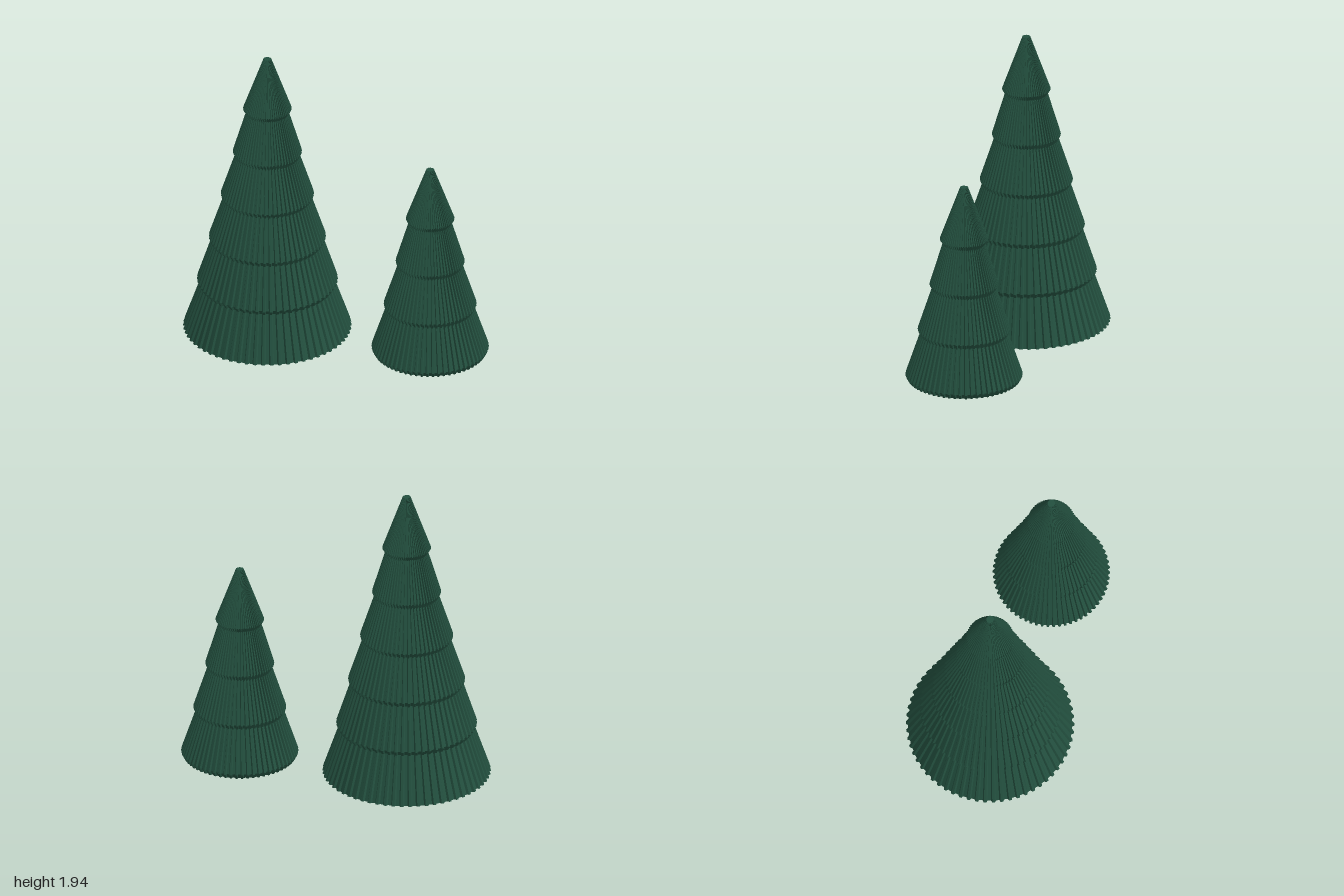
import * as THREE from 'three';

const RIBS = 62;

// Ribbed ring outline: narrow raised ridges with flat valleys between them
function ribbedRing(r, y) {
  const depth = Math.min(0.014, r * 0.07);
  const pts = [];
  for (let i = 0; i < RIBS; i++) {
    for (const [f, out] of [[0, 0], [0.4, 0], [0.55, 1], [0.85, 1]]) {
      const a = ((i + f) / RIBS) * Math.PI * 2;
      const rr = r - (1 - out) * depth;
      pts.push([Math.sin(a) * rr, y, Math.cos(a) * rr]);
    }
  }
  return pts;
}

// Skin a stack of ribbed rings, listed bottom to top, with optional end caps
function ribbedSkin(profile, capBottom, capTop) {
  const rings = profile.map(([r, y]) => ribbedRing(r, y));
  const pos = [];
  const tri = (...corners) => corners.forEach((c) => pos.push(...c));
  const n = rings[0].length;
  for (let k = 0; k < rings.length - 1; k++) {
    for (let i = 0; i < n; i++) {
      const j = (i + 1) % n;
      const a = rings[k][i], b = rings[k][j], c = rings[k + 1][j], d = rings[k + 1][i];
      tri(a, b, c);
      tri(a, c, d);
    }
  }
  const top = rings[rings.length - 1];
  for (let i = 0; i < n; i++) {
    const j = (i + 1) % n;
    if (capBottom) tri([0, profile[0][1], 0], rings[0][j], rings[0][i]);
    if (capTop) tri([0, top[0][1], 0], top[i], top[j]);
  }
  const g = new THREE.BufferGeometry();
  g.setAttribute('position', new THREE.Float32BufferAttribute(pos, 3));
  g.computeVertexNormals();
  return g;
}

// Each tier: [bottom radius, bottom y, rim radius, rim y]; it tapers up to the next tier's bottom
function makeTree(name, tiers, tip, material) {
  const tree = new THREE.Group();
  tree.name = name;
  tiers.forEach(([r0, y0, r1, y1], i) => {
    const last = i === tiers.length - 1;
    const end = last ? tip : tiers[i + 1].slice(0, 2);
    const profile = y1 > y0 ? [[r0, y0], [r1, y1], end] : [[r1, y1], end];
    const mesh = new THREE.Mesh(ribbedSkin(profile, i === 0, last), material);
    mesh.name = `tier${i + 1}`;
    tree.add(mesh);
  });
  return tree;
}

export function createModel() {
  const green = new THREE.MeshStandardMaterial({ color: 0x23503f });
  green.name = 'pine green';

  const tall = makeTree('tallTree', [
    [0.537, 0, 0.537, 0],
    [0.43, 0.31, 0.449, 0.34],
    [0.357, 0.62, 0.373, 0.65],
    [0.28, 0.93, 0.297, 0.96],
    [0.205, 1.24, 0.22, 1.27],
    [0.136, 1.55, 0.155, 1.58],
  ], [0.025, 1.94], green);
  tall.position.set(-0.463, 0, 0);

  const short = makeTree('shortTree', [
    [0.358, 0, 0.374, 0.03],
    [0.28, 0.31, 0.296, 0.34],
    [0.205, 0.62, 0.22, 0.65],
    [0.136, 0.93, 0.155, 0.96],
  ], [0.025, 1.315], green);
  short.position.set(0.625, 0, -0.02);

  const model = new THREE.Group();
  model.name = 'ribbedTreePair';
  model.add(tall, short);
  return model;
}
